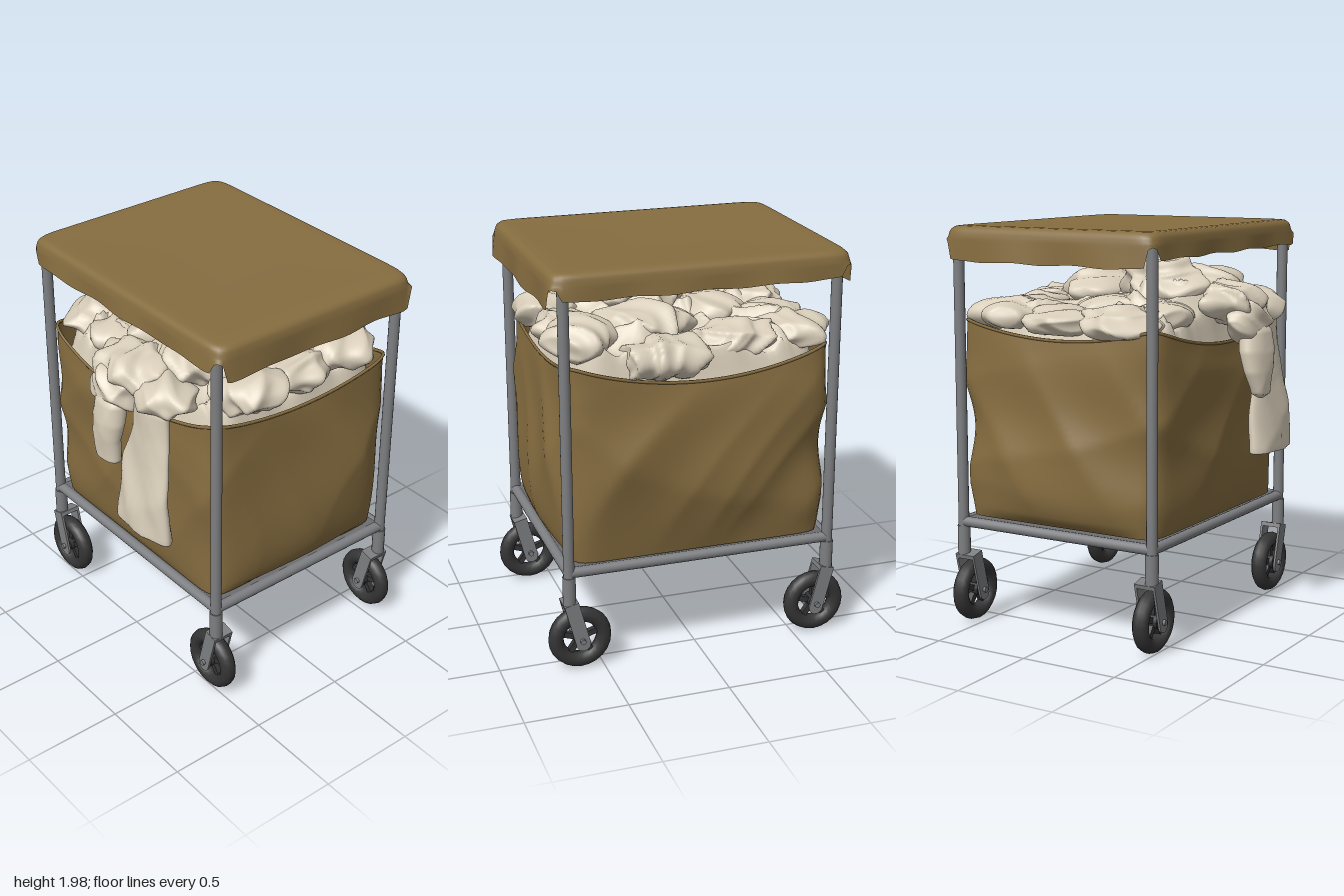
import * as THREE from 'three';
import { mergeVertices } from 'three/addons/utils/BufferGeometryUtils.js';

const mat = (name, color, side = THREE.FrontSide) =>
  new THREE.MeshStandardMaterial({ name, color, side });
const canvas = mat('tan canvas', 0x866d40, THREE.DoubleSide);
const linen = mat('cream linen', 0xd8cdb9, THREE.DoubleSide);
const metal = mat('grey steel', 0x7e7f82);
const rubber = mat('black rubber', 0x353536);
const board = mat('grey board', 0x6e6e70);

const CZ = -0.045, PX = 0.667, PZ = 0.545; // frame centre and half sizes
const { sin, cos, abs, PI, exp, sign, min, max } = Math;
const lerp = THREE.MathUtils.lerp, smooth = THREE.MathUtils.smoothstep;

function add(parent, name, geo, material, x = 0, y = 0, z = 0) {
  const m = new THREE.Mesh(geo, material);
  m.name = name;
  m.position.set(x, y, z);
  parent.add(m);
  return m;
}

// Grid surface, closed in u; f(u, v) returns [x, y, z]
function surface(nu, nv, f) {
  const pos = [], idx = [];
  for (let j = 0; j <= nv; j++)
    for (let i = 0; i < nu; i++) pos.push(...f(i / nu, j / nv));
  for (let j = 0; j < nv; j++)
    for (let i = 0; i < nu; i++) {
      const a = j * nu + i, b = j * nu + (i + 1) % nu;
      idx.push(a, a + nu, b, b, a + nu, b + nu);
    }
  const g = new THREE.BufferGeometry();
  g.setAttribute('position', new THREE.Float32BufferAttribute(pos, 3));
  g.setIndex(idx);
  g.computeVertexNormals();
  return g;
}

// Point on a unit rounded square
function roundSquare(u, n) {
  const c = cos(u * 2 * PI), s = sin(u * 2 * PI);
  const k = Math.pow(abs(c) ** n + abs(s) ** n, -1 / n);
  return [c * k, s * k];
}

// Sample a table of rows at t in 0..1
function sample(rows, t) {
  const f = t * (rows.length - 1), i = min(Math.floor(f), rows.length - 2);
  return rows[i].map((a, k) => lerp(a, rows[i + 1][k], f - i));
}

// Crumpled cloth relief with sharp ridges, about -0.5..0.6
function folds(x, y, z, s) {
  const w = sin(5 * x + 4 * z + s) + sin(6 * y - 3 * x + 2 * s);
  const a = abs(sin(9 * x + 5 * y - 4 * z + 1.3 * w + s));
  const b = abs(sin(-6 * x + 8 * y + 10 * z + 1.1 * w + 2.3 * s));
  const c = abs(sin(15 * x - 9 * z + 12 * y + 1.6 * w));
  return 0.65 - 0.5 * a - 0.4 * b - 0.25 * c;
}

function tube(parent, name, a, b, r) {
  const A = new THREE.Vector3(...a), B = new THREE.Vector3(...b);
  const m = add(parent, name, new THREE.CylinderGeometry(r, r, A.distanceTo(B), 16), metal);
  m.position.copy(A).lerp(B, 0.5);
  m.quaternion.setFromUnitVectors(new THREE.Vector3(0, 1, 0), B.sub(A).normalize());
}

function caster(sx, sz) {
  const g = new THREE.Group();
  g.name = 'caster';
  g.position.set(sx * 0.613, 0.163, CZ + sz * 0.522);
  const tyre = add(g, 'tyre', new THREE.TorusGeometry(0.12, 0.038, 10, 24), rubber);
  tyre.scale.z = 1.08;
  for (let i = 0; i < 5; i++) {
    const a = i * 2 * PI / 5 + PI / 2;
    const spoke = add(g, 'spoke', new THREE.BoxGeometry(0.08, 0.028, 0.03), rubber,
      cos(a) * 0.06, sin(a) * 0.06);
    spoke.rotation.z = a;
  }
  add(g, 'hub', new THREE.CylinderGeometry(0.034, 0.034, 0.07, 16), rubber).rotation.x = PI / 2;
  add(g, 'axle', new THREE.CylinderGeometry(0.014, 0.014, 0.14, 10), metal).rotation.x = PI / 2;
  // Slanted fork joining the axle to the post
  const fork = new THREE.Group();
  fork.name = 'fork';
  fork.rotation.z = -sx * 0.25;
  for (const s of [-1, 1]) {
    add(fork, 'forkBlade', new THREE.BoxGeometry(0.072, 0.22, 0.012), metal, 0, 0.09, s * 0.05);
    add(fork, 'axleBoss', new THREE.CylinderGeometry(0.036, 0.036, 0.012, 16), metal,
      0, -0.018, s * 0.05).rotation.x = PI / 2;
  }
  add(fork, 'forkCrown', new THREE.BoxGeometry(0.072, 0.022, 0.112), metal, 0, 0.195, 0);
  g.add(fork);
  return g;
}

function bundle(parent, [x, y, z], [rx, ry, rz], seed) {
  let g = new THREE.IcosahedronGeometry(1, 13);
  g.deleteAttribute('uv');
  g.deleteAttribute('normal');
  g = mergeVertices(g);
  const p = g.attributes.position;
  for (let i = 0; i < p.count; i++) {
    const a = p.getX(i), b = p.getY(i), c = p.getZ(i);
    const k = 1 + 0.38 * folds((x + a * rx) * 1.5, (y + b * ry) * 1.5, (z + c * rz) * 1.5, seed);
    p.setXYZ(i, a * rx * k, b * ry * k, c * rz * k);
  }
  g.computeVertexNormals();
  add(parent, 'bundle', g, linen, x, y, z);
}

// Flattened hanging cloth; rows are [x, y, z, half width, half depth]
function drape(parent, name, rows, seed) {
  add(parent, name, surface(40, 40, (u, v) => {
    const [x, y, z, w, d] = sample(rows, v);
    const a = u * 2 * PI, px = x + w * sign(cos(a)) * abs(cos(a)) ** 0.7;
    const wave = 0.03 * folds(px, y * 0.5, z, seed);
    return [px, y - 0.03 * (px - x) * v, z - d * sin(a) + wave];
  }), linen);
}

export function createModel() {
  const model = new THREE.Group();

  // Steel frame, base board and casters
  const frame = new THREE.Group();
  frame.name = 'frame';
  model.add(frame);
  for (const sx of [-1, 1])
    for (const sz of [-1, 1]) {
      const x = sx * PX, z = CZ + sz * PZ;
      tube(frame, 'post', [x, 0.48, z], [x, 1.94, z], 0.027);
      tube(frame, 'socket', [x, 0.35, z], [x, 0.5, z], 0.032);
      add(frame, 'postCap', new THREE.SphereGeometry(0.03, 16, 10), metal, x, 1.94, z);
      model.add(caster(sx, sz));
    }
  for (const y of [0.52, 1.94])
    for (const s of [-1, 1]) {
      tube(frame, 'longRail', [-PX, y, CZ + s * PZ], [PX, y, CZ + s * PZ], 0.026);
      tube(frame, 'crossRail', [s * PX, y, CZ - PZ], [s * PX, y, CZ + PZ], 0.026);
    }
  add(frame, 'baseBoard', new THREE.BoxGeometry(1.32, 0.03, 1.08), board, 0, 0.525, CZ);

  // Canvas bag: bulging sides, sagging rim
  const bagPoint = (u, v) => {
    const [X, Z] = roundSquare(u, 16);
    const sideX = abs(X) ** 8 * (1 - Z * Z), sideZ = abs(Z) ** 8 * (1 - X * X);
    const rim = 1.54 - 0.08 * sideX - 0.115 * sideZ;
    const y = lerp(0.55, rim, v);
    const low = sin(PI * Math.pow(v, 0.55)), mid = sin(PI * v);
    const dent = 0.05 * folds(X * 0.28, y * 0.35, Z * 0.28, 1.7) * mid;
    const x = X * (0.635 + 0.015 * v + 0.08 * low * sideX + dent);
    const bulge = Z > 0 ? 0.03 * low + 0.03 * v : 0.055 * mid + 0.025 * v;
    const z = Z * (0.535 + 0.02 * v + bulge * sideZ + 0.015 * mid + dent);
    return [x, y, CZ + z];
  };
  add(model, 'bag', surface(160, 32, bagPoint), canvas);
  const rimPoints = Array.from({ length: 80 }, (_, i) => new THREE.Vector3(...bagPoint(i / 80, 1)));
  add(model, 'bagHem', new THREE.TubeGeometry(
    new THREE.CatmullRomCurve3(rimPoints, true), 160, 0.008, 6, true), canvas);

  // Canopy: flat top rolling over into skirts, notched at the posts
  const profile = [[0, 1.985], [0.45, 1.985], [0.9, 1.99], [0.96, 1.986], [0.988, 1.968], [1, 1.935]];
  add(model, 'canopy', surface(280, 24, (u, v) => {
    const [X, Z] = roundSquare(u, 20);
    const [k, top] = sample(profile, min(1, v / 0.6));
    const drop = max(0, (v - 0.6) / 0.4);
    const notch = smooth(min(abs(X), abs(Z)), 0.9, 0.95);
    const hem = lerp(abs(X) > abs(Z) ? 1.822 : 1.862, 1.92, notch);
    const wave = 1 + 0.01 * drop * sin(9 * X + 7 * Z) + 0.012 * drop;
    return [X * 0.737 * k * wave, lerp(top, hem + 0.004 * sin(14 * X + 11 * Z), drop),
      CZ + Z * 0.592 * k * wave];
  }), canvas);

  // Laundry heap filling the bag
  const laundry = new THREE.Group();
  laundry.name = 'laundry';
  model.add(laundry);
  const mounds = [[-0.05, 0.22, 0.2, 0.24], [0.32, 0.2, 0.15, 0.22], [0.28, -0.36, 0.14, 0.25],
    [-0.4, -0.3, 0.06, 0.25], [-0.45, 0.25, 0.05, 0.2]];
  add(laundry, 'heap', surface(140, 60, (u, v) => {
    const [X, Z] = roundSquare(u, 8);
    const x = X * 0.635 * v, z = CZ + Z * 0.55 * v;
    let y = 1.53 + 0.12 * folds(x * 1.3, 0, z * 1.3, 0.6);
    for (const [mx, mz, h, r] of mounds) y += h * exp(-((x - mx) ** 2 + (z - mz) ** 2) / (r * r));
    return [x, lerp(y, 1.38, smooth(v, 0.9, 1)), z];
  }), linen);

  // Crumpled bundles on the heap and over the rim: centre, radii, seed
  [
    [[-0.03, 1.69, 0.2], [0.16, 0.13, 0.22], 1],
    [[0.24, 1.66, 0.26], [0.23, 0.11, 0.22], 2.2],
    [[0.08, 1.61, 0.5], [0.23, 0.1, 0.17], 3.1],
    [[0.32, 1.57, 0.52], [0.17, 0.09, 0.15], 3.8],
    [[0.05, 1.53, 0.62], [0.15, 0.11, 0.09], 2.7],
    [[-0.54, 1.55, 0.25], [0.18, 0.08, 0.2], 4.4],
    [[-0.53, 1.54, -0.08], [0.18, 0.07, 0.2], 0.3],
    [[-0.53, 1.56, -0.38], [0.18, 0.08, 0.19], 5.2],
    [[0.54, 1.59, 0.2], [0.16, 0.1, 0.19], 6.3],
    [[0.54, 1.58, -0.1], [0.15, 0.09, 0.18], 1.6],
    [[0.53, 1.61, -0.36], [0.17, 0.1, 0.2], 7.7],
    [[0.17, 1.54, -0.57], [0.23, 0.1, 0.15], 8.1],
    [[0.2, 1.63, -0.3], [0.24, 0.1, 0.19], 9.4],
    [[-0.28, 1.56, 0.34], [0.18, 0.08, 0.14], 10.2],
    [[-0.24, 1.55, -0.42], [0.22, 0.09, 0.15], 11.5],
    [[-0.25, 1.58, 0.05], [0.18, 0.07, 0.2], 12.4],
  ].forEach((b) => bundle(laundry, ...b));

  // Cloths hanging over the front
  drape(laundry, 'longCloth', [
    [0.3, 1.6, 0.54, 0.03, 0.01], [0.3, 1.52, 0.59, 0.11, 0.04], [0.295, 1.38, 0.6, 0.125, 0.035],
    [0.28, 1.2, 0.615, 0.165, 0.04], [0.28, 1.02, 0.63, 0.185, 0.05], [0.283, 0.85, 0.64, 0.2, 0.058],
    [0.283, 0.865, 0.64, 0.16, 0.02]], 2);
  drape(laundry, 'shortCloth', [
    [0.07, 1.58, 0.62, 0.03, 0.02], [0.07, 1.48, 0.65, 0.1, 0.06], [0.06, 1.38, 0.665, 0.11, 0.06],
    [0.055, 1.28, 0.68, 0.095, 0.05], [0.075, 1.17, 0.69, 0.07, 0.04], [0.08, 1.145, 0.69, 0.01, 0.01]], 5);

  return model;
}
